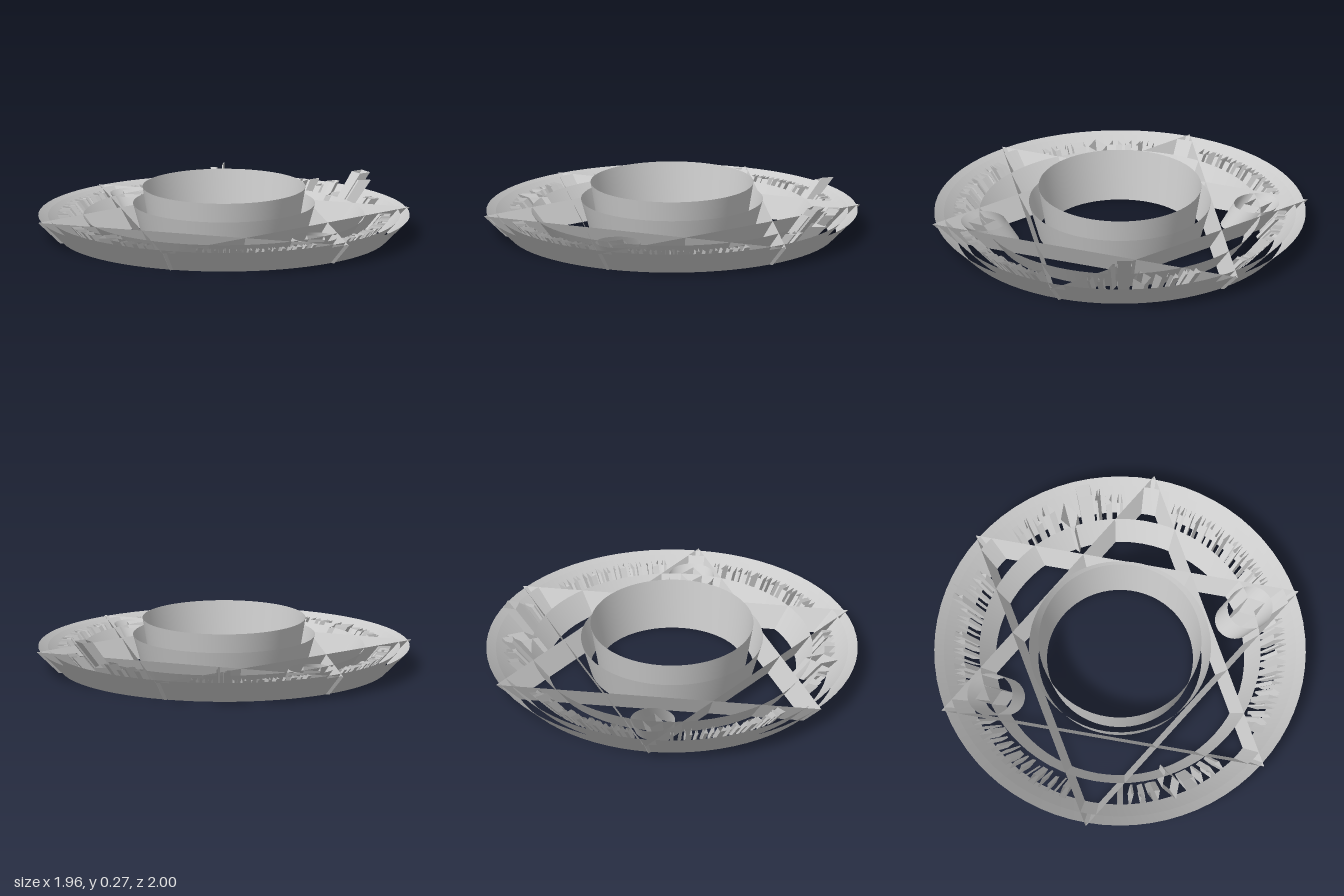
import * as THREE from 'three';

const material = new THREE.MeshStandardMaterial({ color: 0xcccccc, side: THREE.DoubleSide });
const H = 0.115;      // height of the low walls
const FLARE = 1.133;  // every wall widens from the centre as it rises

// Open wall over a closed outline of [x, z] points, scaled outwards towards its top
function wall(name, points, { height = H, flare = FLARE, smooth = false } = {}) {
  const positions = [], index = [], n = points.length;
  points.forEach(([x, z], i) => {
    positions.push(x, 0, z, x * flare, height, z * flare);
    const a = 2 * i, b = 2 * ((i + 1) % n);
    index.push(a, a + 1, b, b, a + 1, b + 1);
  });
  let geometry = new THREE.BufferGeometry();
  geometry.setAttribute('position', new THREE.Float32BufferAttribute(positions, 3));
  geometry.setIndex(index);
  if (!smooth) geometry = geometry.toNonIndexed();
  geometry.computeVertexNormals();
  const mesh = new THREE.Mesh(geometry, material);
  mesh.name = name;
  return mesh;
}

// Regular outline with n corners
function polygon(radius, n, start = 0, cx = 0, cz = 0) {
  return Array.from({ length: n }, (_, i) => {
    const a = start + (i / n) * Math.PI * 2;
    return [cx + radius * Math.cos(a), cz + radius * Math.sin(a)];
  });
}

// Glyph outlines: [across 0..1, outward 0..1]
const GLYPHS = [
  [[0, 0], [1, 0], [1, 1], [0, 1]],
  [[0, 0], [0.4, 0], [1, 1], [0.6, 1]],
  [[0, 0], [1, 0.15], [0.6, 0.5], [1, 1], [0, 1]],
  [[0, 0.1], [0.5, 0], [1, 0.1], [0.7, 1], [0.3, 1]],
];

// One glyph at an angle, drawn between two radii
function glyph(kind, angle, width, inner, outer, height, flare) {
  const outline = GLYPHS[kind % GLYPHS.length].map(([u, v]) => {
    const r = inner + (outer - inner) * v;
    const t = (u - 0.5) * width;
    return [r * Math.cos(angle) - t * Math.sin(angle), r * Math.sin(angle) + t * Math.cos(angle)];
  });
  return wall('glyph', outline, { height, flare });
}

export function createModel() {
  const model = new THREE.Group();
  model.name = 'ritualCircle';

  // Large rings
  for (const [name, radius] of [['outerRing', 0.865], ['secondRing', 0.82], ['innerRing', 0.655]]) {
    model.add(wall(name, polygon(radius, 72), { smooth: true }));
  }

  // Raised rings in the middle
  model.add(wall('centreRingLow', polygon(0.43, 64), { height: 0.18, flare: 1.117, smooth: true }));
  model.add(wall('centreRingHigh', polygon(0.385, 64), { height: 0.27, flare: 1.117, smooth: true }));

  // Two crossed triangles
  for (const s of [-1, 1]) {
    model.add(wall('starTriangle', polygon(1 / FLARE, 3, s * Math.PI / 2)));
  }

  // Small circles with diamonds at front and back, diamonds at the sides
  for (const s of [-1, 1]) {
    model.add(wall('smallRing', polygon(0.105, 36, 0, 0, s * 0.643), { smooth: true }));
    const z = s * 0.65, x = s * 0.705;
    model.add(wall('ringDiamond', [[0.05, z], [0, z + 0.065], [-0.05, z], [0, z - 0.065]]));
    model.add(wall('sideDiamond', [[x + 0.075, 0], [x, 0.042], [x - 0.075, 0], [x, -0.042]]));
  }

  // Glyphs in four diagonal arcs
  const glyphs = new THREE.Group();
  glyphs.name = 'glyphs';
  const deg = Math.PI / 180;
  const count = 15;
  for (const sx of [-1, 1]) {
    for (const sz of [-1, 1]) {
      for (let i = 0; i < count; i++) {
        const a = (40 + (42 * i) / (count - 1)) * deg;
        const angle = Math.atan2(sz * Math.sin(a), sx * Math.cos(a));
        const width = 0.012 + 0.006 * ((i * 7 + 3) % 4);
        // A few taller ones stand in the back left arc
        const tall = sx > 0 && sz < 0 && (i === 3 || i === 4);
        const height = tall ? 0.19 - 0.02 * (i - 3) : H;
        const flare = 1 + (FLARE - 1) * height / H;
        glyphs.add(glyph(i + sx + 2 * sz + 3, angle, width, 0.72 + 0.008 * (i % 3), 0.775, height, flare));
      }
    }
  }

  // Glyphs at the two sides, some of the left ones taller
  const sideAngles = [-0.34, -0.27, -0.2, -0.12, 0.12, 0.2, 0.27, 0.34];
  const leftHeights = [0.14, 0.15, 0.13, 0.155, 0.24, 0.21, 0.13, 0.135];
  sideAngles.forEach((a, i) => {
    const wide = i === 3 || i === 4 ? 0.06 : 0.028;
    glyphs.add(glyph(i, Math.PI - a, wide, 0.71, 0.76, H, FLARE));
    const height = leftHeights[i];
    const drop = height > 0.2 ? 0.05 : 0;
    glyphs.add(glyph(i, a, wide, 0.71 - drop, 0.76 - drop, height, 1 + (FLARE - 1) * height / H));
  });
  model.add(glyphs);

  return model;
}
